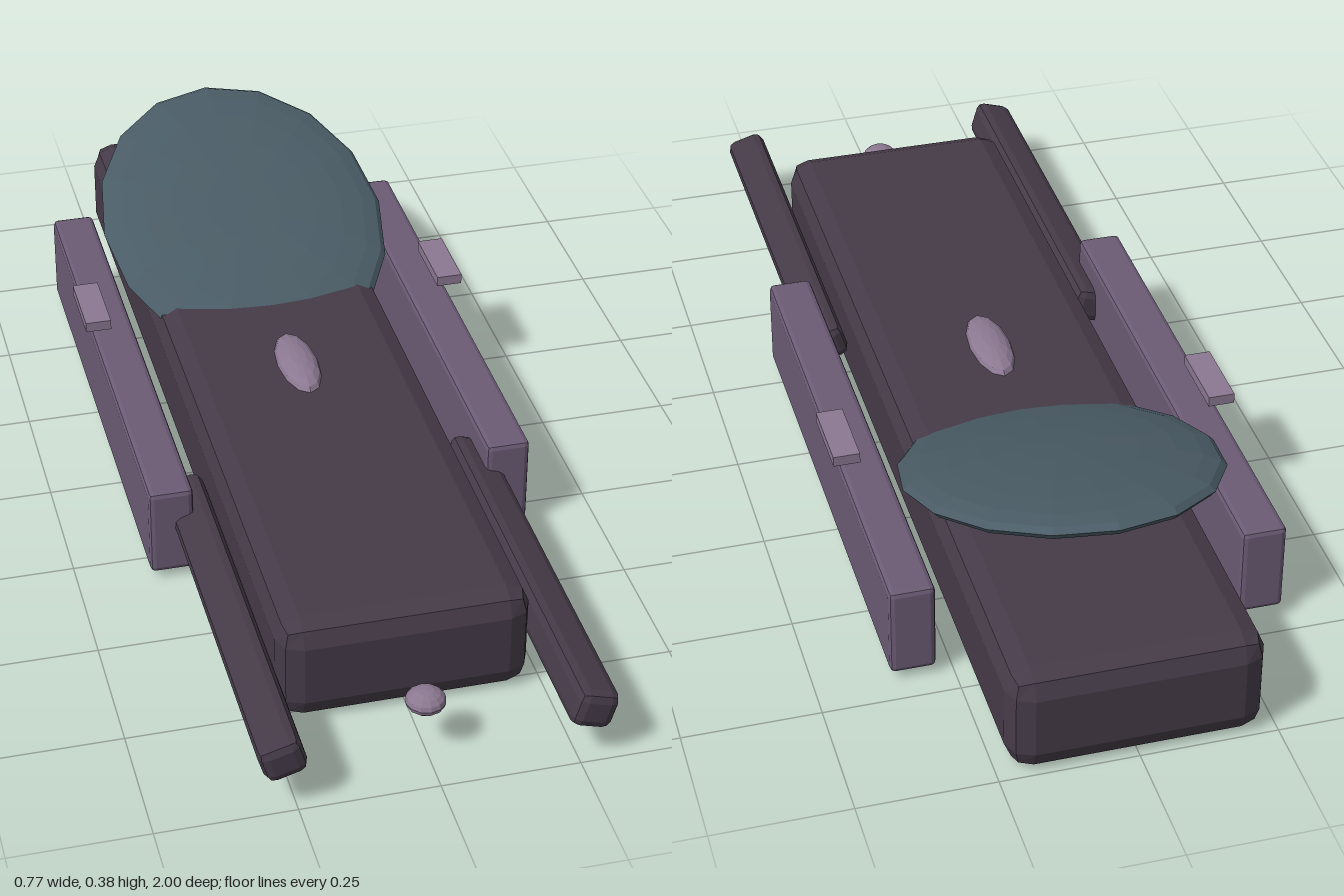
import * as THREE from 'three';
import { RoundedBoxGeometry } from 'three/addons/geometries/RoundedBoxGeometry.js';

const mat = (color) => new THREE.MeshStandardMaterial({ color, flatShading: true });

export function createModel() {
  const group = new THREE.Group();
  const dark = mat(0x453b48), mauve = mat(0x6b5b75), pale = mat(0x8b7891), slate = mat(0x4a5c66);

  const add = (name, geometry, material, x, y, z) => {
    const mesh = new THREE.Mesh(geometry, material);
    mesh.name = name;
    mesh.position.set(x, y, z);
    group.add(mesh);
    return mesh;
  };
  // one bevelled step per corner
  const block = (w, h, d, r) => new RoundedBoxGeometry(w, h, d, 1, r);
  const ellipsoid = (rx, ry, rz, seg, rings) =>
    new THREE.SphereGeometry(1, seg, rings).scale(rx, ry, rz);

  // long main hull
  add('hull', block(0.46, 0.205, 1.785, 0.044), dark, 0, 0.1025, -0.1075);

  // tilted disc, sunk into the hull at its front edge
  const disc = add('tiltedDisc', ellipsoid(0.29, 0.04, 0.375, 16, 12), slate, 0, 0.26, -0.5);
  disc.rotation.x = 0.32;

  // domes on the deck and ahead of the nose
  add('deckDome', ellipsoid(0.04, 0.022, 0.105, 12, 8), pale, 0, 0.205, -0.025);
  add('noseLamp', ellipsoid(0.036, 0.022, 0.036, 12, 8), pale, 0, 0.105, 0.895);

  // mirrored side parts
  for (const [side, s] of [['left', 1], ['right', -1]]) {
    add(side + 'SidePod', block(0.084, 0.177, 1.02, 0.01), mauve, s * 0.323, 0.104, -0.19);
    const prong = add(side + 'Prong', block(0.078, 0.074, 0.805, 0.018), dark, s * 0.274, 0.105, 0.5975);
    prong.rotation.z = -s * 0.29;
    add(side + 'Fin', new THREE.BoxGeometry(0.05, 0.02, 0.145), pale, s * 0.358, 0.233, -0.278);
  }
  return group;
}
